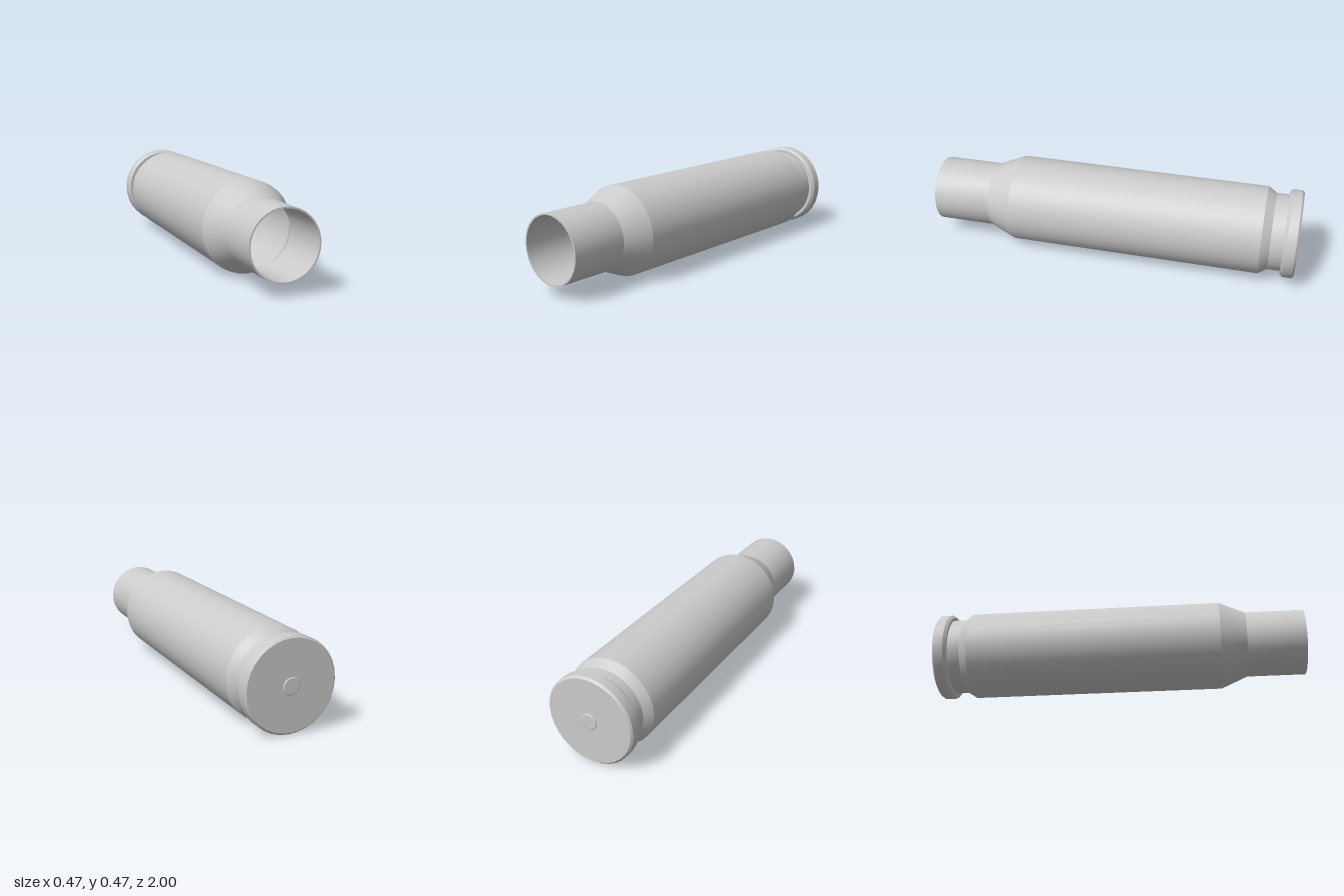
import * as THREE from 'three';
import { toCreasedNormals } from 'three/addons/utils/BufferGeometryUtils.js';

const SIDES = 32;
const AXIS_HEIGHT = 0.236;

// Turn a (radius, z) profile around the z axis, keeping hard edges crisp
function turned(name, profile, material) {
  const points = profile.map(([r, z]) => new THREE.Vector2(r, z));
  const geometry = new THREE.LatheGeometry(points, SIDES).rotateX(Math.PI / 2);
  const mesh = new THREE.Mesh(toCreasedNormals(geometry, 0.3), material);
  mesh.name = name;
  mesh.position.y = AXIS_HEIGHT;
  return mesh;
}

export function createModel() {
  const group = new THREE.Group();
  group.name = 'cartridgeCase';
  const material = new THREE.MeshStandardMaterial({ color: 0xcccccc });

  // Hollow case: base and rim, groove, body, shoulder, neck, then back down the inside
  group.add(turned('case', [
    [0, -0.994], [0.225, -0.994], [0.235, -0.984],   // base
    [0.235, -0.935], [0.222, -0.92], [0.205, -0.92], // rim
    [0.205, -0.853], [0.235, -0.807],                // extractor groove
    [0.235, 0.55], [0.175, 0.69],                    // body and shoulder
    [0.175, 1], [0.167, 1],                          // neck and mouth
    [0.167, 0.688], [0.227, 0.548],                  // inner wall
    [0.227, -0.8], [0, -0.8],                        // inner floor
  ], material));

  // Small raised cap in the centre of the base
  group.add(turned('primer', [
    [0, -1], [0.038, -1], [0.043, -0.997], [0.043, -0.99],
  ], material));

  return group;
}
